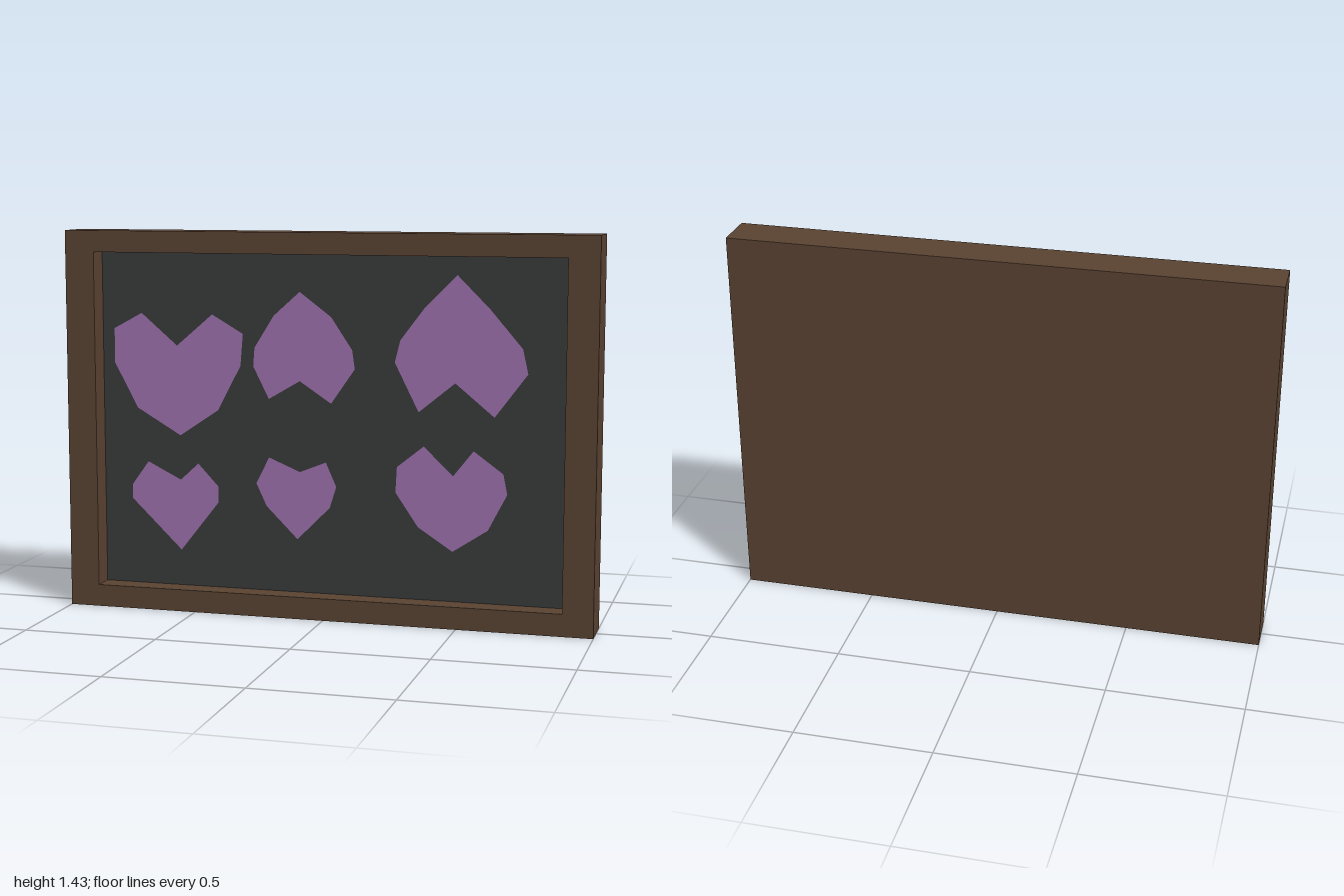
import * as THREE from 'three';

const W = 2, H = 1.43, D = 0.16;                 // outer frame size
const IN = { x: 0.887, y0: 0.083, y1: 1.35 };    // opening
const FLOOR = -0.005;                            // z of the recessed panel

// Heart outlines on the panel, upper row then lower row
const HEARTS = [
  [[-.84, 1.06], [-.73, 1.12], [-.59, 1.0], [-.45, 1.12], [-.33, 1.05], [-.34, .93], [-.43, .76], [-.58, .66], [-.75, .76], [-.84, .93]],
  [[-.11, 1.21], [.01, 1.12], [.09, 1.0], [.1, .93], [.01, .8], [-.11, .88], [-.23, .81], [-.29, .93], [-.285, 1.0], [-.21, 1.12]],
  [[.48, 1.28], [.6, 1.16], [.72, 1.02], [.74, .93], [.62, .77], [.475, .89], [.34, .78], [.25, .96], [.27, 1.04], [.36, 1.16]],
  [[-.71, .555], [-.58, .49], [-.51, .555], [-.43, .47], [-.43, .41], [-.58, .22], [-.775, .41], [-.775, .465]],
  [[-.23, .59], [-.11, .54], [-.01, .58], [.03, .49], [.005, .41], [-.12, .285], [-.24, .405], [-.28, .49]],
  [[.36, .655], [.47, .55], [.545, .645], [.655, .565], [.67, .49], [.6, .355], [.47, .27], [.34, .355], [.255, .48], [.26, .575]],
];

const polygon = (pts, Type = THREE.Shape) => new Type(pts.map(([x, y]) => new THREE.Vector2(x, y)));
const rect = (x, y0, y1) => [[-x, y0], [x, y0], [x, y1], [-x, y1]];

export function createModel() {
  const group = new THREE.Group();
  const wood = new THREE.MeshStandardMaterial({ color: 0x5b4433 });
  const slate = new THREE.MeshStandardMaterial({ color: 0x3a3c3d });
  const purple = new THREE.MeshStandardMaterial({ color: 0xa073b0 });
  const add = (name, geometry, material, z, parent = group) => {
    const mesh = new THREE.Mesh(geometry, material);
    mesh.name = name;
    mesh.position.z = z;
    parent.add(mesh);
    return mesh;
  };

  // Frame with a rectangular opening
  const outline = polygon(rect(W / 2, 0, H));
  outline.holes.push(polygon(rect(IN.x, IN.y0, IN.y1), THREE.Path));
  add('frame', new THREE.ExtrudeGeometry(outline, { depth: D, bevelEnabled: false }), wood, -D / 2);

  // Wooden backing that closes the opening flush with the back
  const depth = FLOOR - 0.002 + D / 2;
  const opening = polygon(rect(IN.x, IN.y0, IN.y1));
  add('backing', new THREE.ExtrudeGeometry(opening, { depth, bevelEnabled: false }), wood, -D / 2);

  // Dark recessed panel
  add('panel', new THREE.ShapeGeometry(opening), slate, FLOOR);

  // Flat paper hearts
  const hearts = new THREE.Group();
  hearts.name = 'hearts';
  group.add(hearts);
  HEARTS.forEach((pts, i) => add(`heart${i + 1}`, new THREE.ShapeGeometry(polygon(pts)), purple, FLOOR + 0.003, hearts));

  return group;
}
